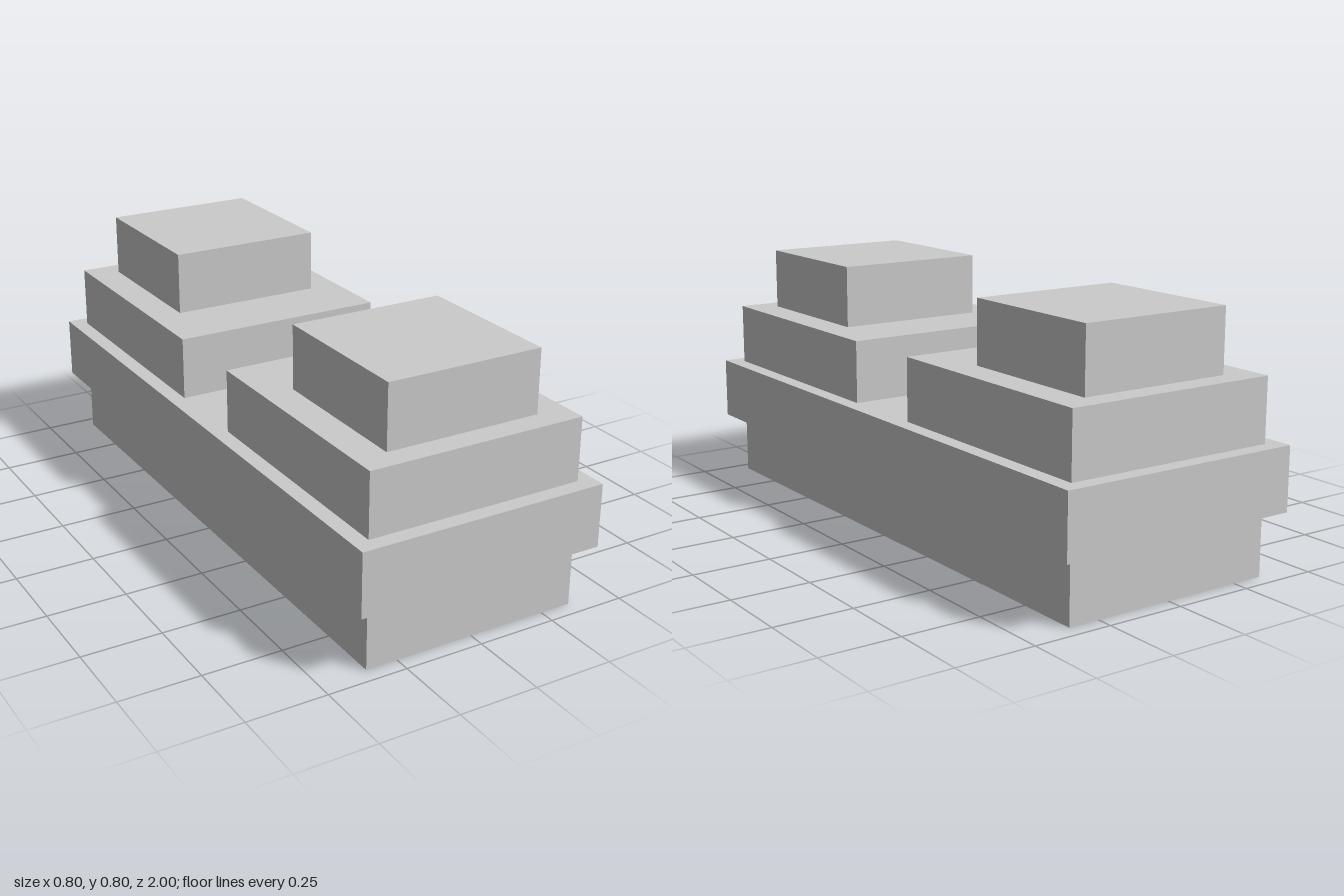
import * as THREE from 'three';

const material = new THREE.MeshStandardMaterial({ color: 0xcccccc, flatShading: true });
const LAYER = 0.2; // every layer has the same height

// Box of one layer's height, standing on the given layer
function block(name, width, depth, layer, z = 0) {
  const mesh = new THREE.Mesh(new THREE.BoxGeometry(width, LAYER, depth), material);
  mesh.name = name;
  mesh.position.set(0, (layer + 0.5) * LAYER, z);
  return mesh;
}

export function createModel() {
  const model = new THREE.Group();
  model.name = 'steppedBlocks';

  // Recessed base and the wider slab on it
  model.add(block('base', 0.7, 1.9, 0), block('slab', 0.8, 2, 1));

  // Two mirrored stepped towers, front and back
  for (const [side, sign] of [['front', 1], ['back', -1]]) {
    const tower = new THREE.Group();
    tower.name = `${side}Tower`;
    tower.add(
      block(`${side}LowerStep`, 0.7, 0.8, 2, sign * 0.55),
      block(`${side}UpperStep`, 0.5, 0.5, 3, sign * 0.625),
    );
    model.add(tower);
  }
  return model;
}
